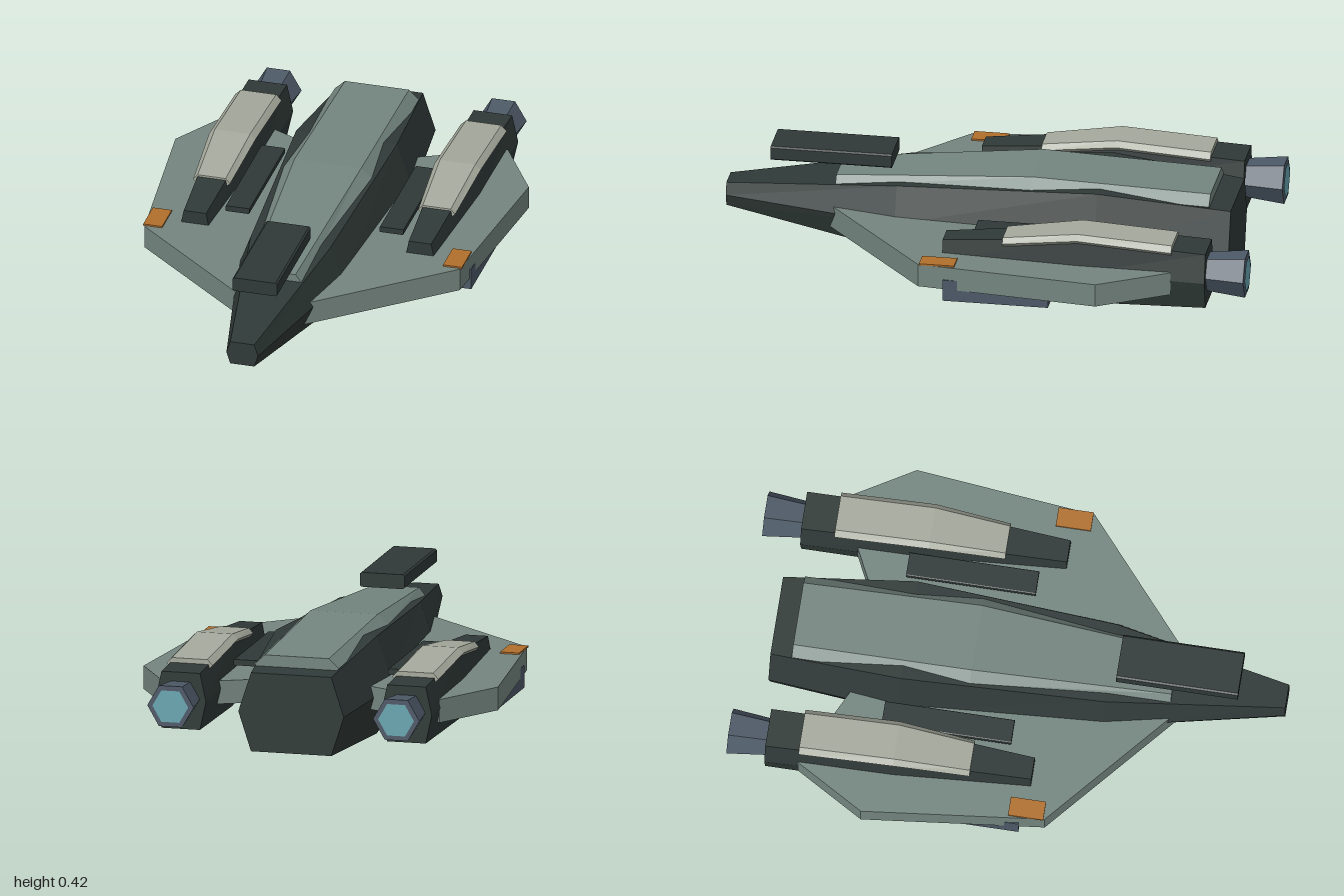
import * as THREE from 'three';

const paint = (name, color) => {
  const m = new THREE.MeshStandardMaterial({ color });
  m.name = name;
  return m;
};

// Flat-sided and slightly bevelled unit profiles, counter-clockwise seen from the front
const HEX = [[0.76, 1], [-0.76, 1], [-1, 0], [-0.76, -1], [0.76, -1], [1, 0]];
const BEVEL = [[0.92, 1], [-0.92, 1], [-1, 0.8], [-1, -0.8], [-0.92, -1], [0.92, -1], [1, -0.8], [1, 0.8]];

// Faceted loft; sections run front to back as [z, halfWidth, bottom, top]
function loft(profile, sections) {
  const rings = sections.map(([z, w, b, t]) =>
    profile.map(([u, v]) => [u * w, (b + t) / 2 + v * (t - b) / 2, z]));
  const pos = [], n = profile.length;
  const tri = (...pts) => pts.forEach(p => pos.push(...p));
  for (let k = 0; k < rings.length - 1; k++) {
    const f = rings[k], r = rings[k + 1];
    for (let i = 0; i < n; i++) {
      const j = (i + 1) % n;
      tri(f[i], r[i], r[j]);
      tri(f[i], r[j], f[j]);
    }
  }
  const first = rings[0], last = rings[rings.length - 1];
  for (let i = 1; i < n - 1; i++) {
    tri(first[0], first[i], first[i + 1]);
    tri(last[0], last[i + 1], last[i]);
  }
  const g = new THREE.BufferGeometry();
  g.setAttribute('position', new THREE.Float32BufferAttribute(pos, 3));
  g.computeVertexNormals();
  return g;
}

// Box from minimum and maximum corners
function box(x0, x1, y0, y1, z0, z1) {
  return new THREE.BoxGeometry(x1 - x0, y1 - y0, z1 - z0)
    .translate((x0 + x1) / 2, (y0 + y1) / 2, (z0 + z1) / 2);
}

export function createModel() {
  const hull = paint('darkHull', 0x2f3937);
  const sage = paint('sagePlating', 0x74857f);
  const pale = paint('paleArmor', 0xa5a99c);
  const slate = paint('slateMetal', 0x4d5967);
  const orange = paint('orangeMarking', 0xb06f2c);
  const teal = paint('engineGlow', 0x68a5b0);

  const model = new THREE.Group();
  model.name = 'spacecraft';
  const add = (name, geometry, material, parent = model) => {
    const mesh = new THREE.Mesh(geometry, material);
    mesh.name = name;
    parent.add(mesh);
    return mesh;
  };

  // Central body
  add('fuselage', loft(HEX, [
    [1, 0.06, 0.155, 0.245], [0.35, 0.2, 0.065, 0.325],
    [-0.4, 0.252, 0, 0.365], [-0.89, 0.2, 0.02, 0.315]]), hull);
  add('dorsalPlate', loft(HEX, [
    [0.585, 0.112, 0.255, 0.325], [-0.15, 0.167, 0.315, 0.388],
    [-0.81, 0.16, 0.295, 0.366]]), sage);
  add('noseModule', loft(BEVEL, [
    [0.83, 0.085, 0.363, 0.417], [0.38, 0.085, 0.363, 0.417]]), hull);

  for (const side of [1, -1]) {
    const label = side > 0 ? 'left' : 'right';

    // Wing slab
    const outline = [[0.1, 0.622], [0.6, 0.195], [0.672, -0.475], [0.52, -0.73], [0.1, -0.527]];
    const shape = new THREE.Shape(outline.map(([x, z]) => new THREE.Vector2(side * x, -z)));
    add(label + 'Wing', new THREE.ExtrudeGeometry(shape, { depth: 0.087, bevelEnabled: false })
      .rotateX(-Math.PI / 2).translate(0, 0.132, 0), sage);

    // Wingtip gun and marking
    add(label + 'WingGun', box(-0.03, 0.03, 0.088, 0.17, -0.29, 0.1), slate).position.x = side * 0.586;
    add(label + 'WingMarking', box(-0.036, 0.036, 0.218, 0.225, 0.06, 0.19), orange).position.x = side * 0.57;

    // Rail between body and nacelle
    add(label + 'Rail', loft(BEVEL, [
      [0.03, 0.045, 0.235, 0.257], [-0.45, 0.045, 0.235, 0.257]]), hull).position.x = side * 0.293;

    // Engine nacelle
    const engine = new THREE.Group();
    engine.name = label + 'Engine';
    engine.position.x = side * 0.428;
    model.add(engine);
    add('nacelle', loft(HEX, [
      [0.125, 0.056, 0.125, 0.267], [-0.38, 0.09, 0.067, 0.315],
      [-0.855, 0.096, 0.08, 0.292]]), hull, engine);
    add('nacelleArmor', loft(HEX, [
      [-0.1, 0.07, 0.258, 0.296], [-0.38, 0.088, 0.298, 0.336],
      [-0.73, 0.088, 0.274, 0.316]]), pale, engine);
    add('exhaust', loft([0, 1, 2, 3, 4, 5].map(i =>
      [Math.cos(i * Math.PI / 3), Math.sin(i * Math.PI / 3)]), [
      [-0.82, 0.068, 0.127, 0.263], [-0.997, 0.088, 0.107, 0.283]]), slate, engine);
    add('exhaustGlow', new THREE.CircleGeometry(0.068, 6)
      .rotateY(Math.PI).translate(0, 0.195, -1), teal, engine);
  }
  return model;
}
